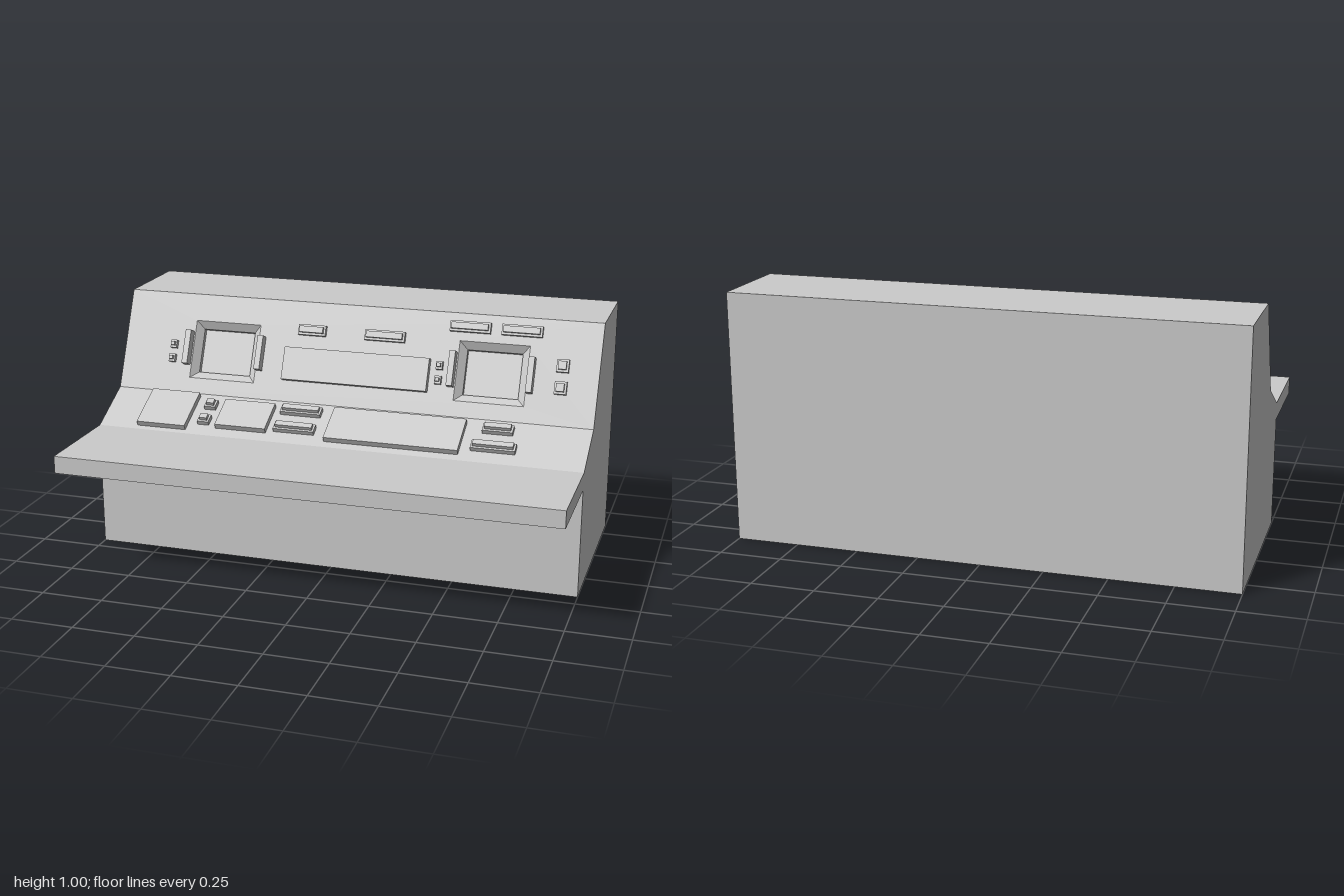
import * as THREE from 'three';

const material = new THREE.MeshStandardMaterial({ color: 0xcccccc, flatShading: true, side: THREE.DoubleSide });

// Side profile as [z, y]
const profile = [
  [-0.592, 0], [0.185, 0], [0.185, 0.44], [0.592, 0.44], [0.592, 0.51],
  [0.18, 0.51], [-0.03, 0.615], [-0.21, 0.995], [-0.592, 0.995],
];
const faceNames = ['underside', 'frontBase', 'deskUnderside', 'deskEdge', 'deskTop',
  'controlSlope', 'monitorSlope', 'top', 'back'];

// Screen recesses on the monitor slope
const screens = [-0.552, 0.576];
const screenHalf = 0.142, screenLow = 0.065, screenHigh = 0.308, inset = 0.03;

function addMesh(parent, name, geometry) {
  const mesh = new THREE.Mesh(geometry, material);
  mesh.name = name;
  parent.add(mesh);
  return mesh;
}

function rect(Type, x0, x1, y0, y1) {
  return new Type([[x0, y0], [x1, y0], [x1, y1], [x0, y1]].map(p => new THREE.Vector2(...p)));
}

// Box standing on a slope: x range, range up the slope, bottom and top height
function block(parent, name, x0, x1, s0, s1, h1, h0 = 0) {
  const mesh = addMesh(parent, name, new THREE.BoxGeometry(x1 - x0, s1 - s0, h1 - h0));
  mesh.position.set((x0 + x1) / 2, (s0 + s1) / 2, (h0 + h1) / 2);
}

// Wide base with a narrower cap
function button(parent, name, x0, x1, s0, s1) {
  const m = Math.min(0.008, (x1 - x0) * 0.2);
  const group = new THREE.Group();
  group.name = name;
  block(group, 'buttonBase', x0, x1, s0, s1, 0.018);
  block(group, 'buttonCap', x0 + m, x1 - m, s0 + 0.009, s1 - 0.009, 0.032, 0.018);
  parent.add(group);
}

// Sunken screen: bevelled rim, short straight wall, flat floor
function recess(parent, cx) {
  const ring = (d, z) => {
    const a = cx - screenHalf + d, b = cx + screenHalf - d;
    const c = screenLow + d, e = screenHigh - d;
    return [[a, c, z], [b, c, z], [b, e, z], [a, e, z]];
  };
  const rings = [ring(0, 0), ring(inset, -0.026), ring(inset, -0.046)];
  const points = [];
  for (let r = 0; r < 2; r++) {
    for (let i = 0; i < 4; i++) {
      const j = (i + 1) % 4;
      const [a, b, c, d] = [rings[r][i], rings[r][j], rings[r + 1][j], rings[r + 1][i]];
      points.push(...a, ...b, ...c, ...a, ...c, ...d);
    }
  }
  const [a, b, c, d] = rings[2];
  points.push(...a, ...b, ...c, ...a, ...c, ...d);
  const geometry = new THREE.BufferGeometry();
  geometry.setAttribute('position', new THREE.Float32BufferAttribute(points, 3));
  geometry.computeVertexNormals();
  addMesh(parent, 'screenRecess', geometry);
}

export function createModel() {
  const model = new THREE.Group();
  model.name = 'controlConsole';

  // Body shell: one sheet per profile edge, each in its own sloped frame
  const frames = {};
  profile.forEach(([z0, y0], i) => {
    const [z1, y1] = profile[(i + 1) % profile.length];
    const dz = z1 - z0, dy = y1 - y0;
    const shape = rect(THREE.Shape, -1, 1, 0, Math.hypot(dz, dy));
    const frame = new THREE.Group();
    frame.name = faceNames[i] + 'Panel';
    frame.position.set(0, y0, z0);
    frame.rotation.x = Math.atan2(dz, dy);
    if (faceNames[i] === 'monitorSlope') {
      for (const cx of screens) {
        shape.holes.push(rect(THREE.Path, cx - screenHalf, cx + screenHalf, screenLow, screenHigh));
      }
    }
    addMesh(frame, faceNames[i], new THREE.ShapeGeometry(shape));
    model.add(frame);
    frames[faceNames[i]] = frame;
  });

  // End walls
  const side = new THREE.Shape(profile.map(([z, y]) => new THREE.Vector2(-z, y)));
  for (const x of [-1, 1]) {
    const geometry = new THREE.ShapeGeometry(side);
    if (x < 0) geometry.setIndex([...geometry.index.array].reverse());
    geometry.rotateY(Math.PI / 2);
    geometry.computeVertexNormals();
    addMesh(model, 'endWall', geometry).position.x = x;
  }

  // Monitor slope
  const upper = frames.monitorSlope;
  for (const cx of screens) {
    recess(upper, cx);
    for (const s of [-1, 1]) {
      const x = cx + s * 0.159;
      block(upper, 'screenHandle', x - 0.012, x + 0.012, 0.118, 0.26, 0.04);
    }
  }
  block(upper, 'displayPlate', -0.285, 0.325, 0.088, 0.223, 0.03);
  for (const [x0, x1, s] of [[-0.24, -0.124, 0.28], [0.043, 0.21, 0.28], [0.39, 0.555, 0.343], [0.6, 0.763, 0.343]]) {
    button(upper, 'barButton', x0, x1, s, s + 0.043);
  }
  for (const x of [-0.79, 0.352]) {
    for (const s of [0.124, 0.183]) button(upper, 'smallButton', x, x + 0.026, s, s + 0.033);
  }
  for (const s of [0.124, 0.212]) button(upper, 'squareButton', 0.832, 0.88, s, s + 0.051);

  // Control slope
  const lower = frames.controlSlope;
  for (const [x0, x1, s0, s1] of [[-0.837, -0.628, 0.02, 0.219], [-0.505, -0.29, 0.045, 0.196], [-0.04, 0.505, 0.03, 0.207]]) {
    block(lower, 'controlPlate', x0, x1, s0, s1, 0.023);
  }
  for (const [x0, x1, s] of [
    [-0.26, -0.09, 0.158], [-0.26, -0.09, 0.058], [0.575, 0.697, 0.158], [0.548, 0.725, 0.058],
    [-0.586, -0.538, 0.147], [-0.586, -0.538, 0.058],
  ]) {
    button(lower, 'controlButton', x0, x1, s, s + 0.043);
  }
  return model;
}
